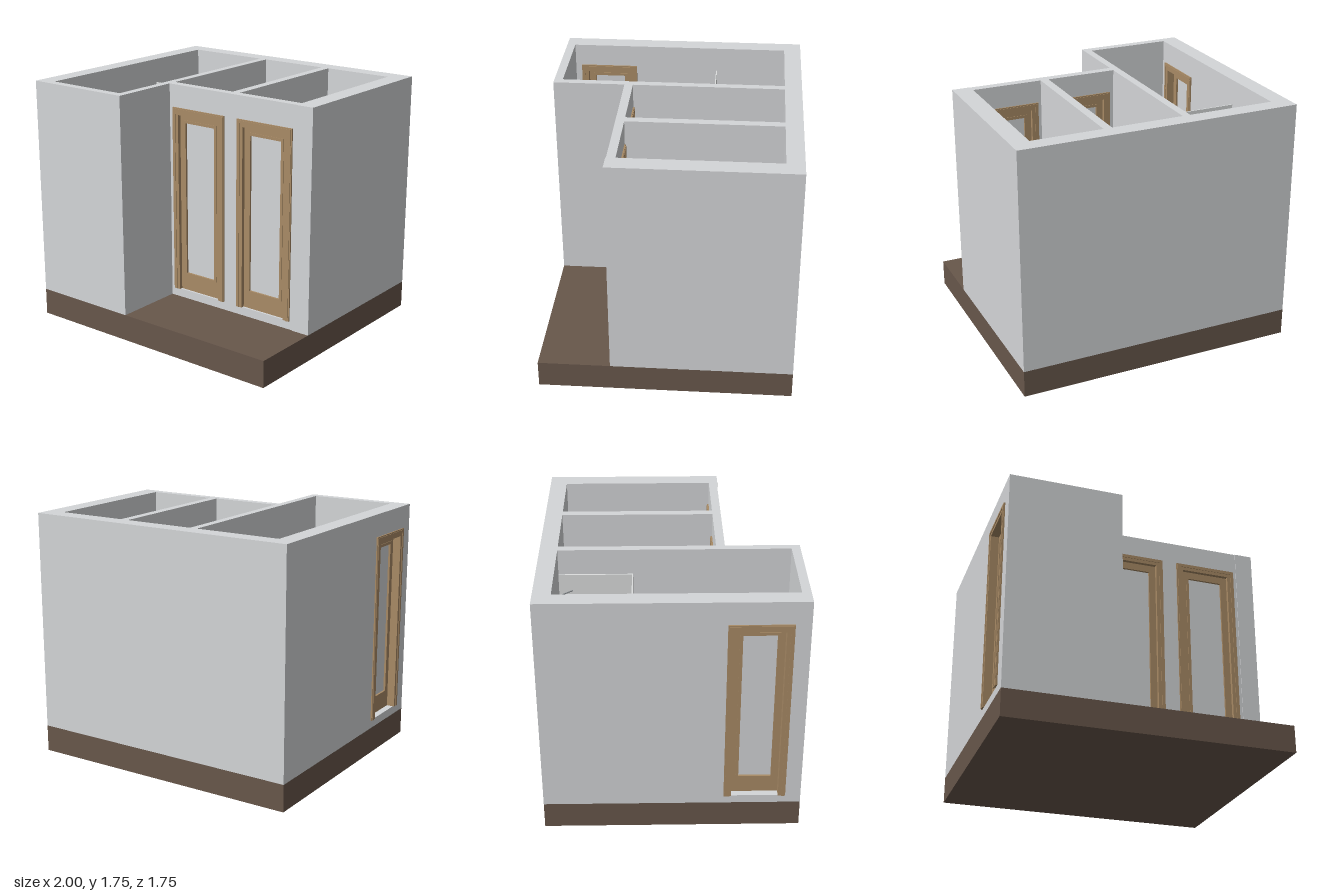
import * as THREE from 'three';
import { toCreasedNormals } from 'three/addons/utils/BufferGeometryUtils.js';

const mat = (name, color, side = THREE.FrontSide) => {
  const m = new THREE.MeshStandardMaterial({ color, side });
  m.name = name;
  return m;
};
const M = {
  wall: mat('wall grey', 0xd4d6d8),
  floor: mat('floor brown', 0x68574b),
  wood: mat('door wood', 0xa98b66),
  white: mat('porcelain', 0xdcdede, THREE.DoubleSide),
  lid: mat('lid grey', 0x8a979c),
  metal: mat('metal', 0x858a8e),
};
const FLOOR = 0.19, TOP = 1.75, SILL = 0.25, HEAD = 1.59;

function add(parent, name, geo, material, x = 0, y = 0, z = 0) {
  const mesh = new THREE.Mesh(geo, material);
  mesh.name = name;
  mesh.position.set(x, y, z);
  parent.add(mesh);
  return mesh;
}
// Box given by its limits on each axis
function block(parent, name, material, x0, x1, y0, y1, z0, z1) {
  return add(parent, name, new THREE.BoxGeometry(x1 - x0, y1 - y0, z1 - z0), material,
    (x0 + x1) / 2, (y0 + y1) / 2, (z0 + z1) / 2);
}
function group(parent, name, x, y, z, turn = 0) {
  const g = new THREE.Group();
  g.name = name;
  g.position.set(x, y, z);
  g.rotation.y = turn;
  parent.add(g);
  return g;
}
const poly = pts => new THREE.Shape(pts.map(p => new THREE.Vector2(p[0], p[1])));
const rect = (x0, x1, y0, y1) => poly([[x0, y0], [x1, y0], [x1, y1], [x0, y1]]);
const extrude = (shape, depth) =>
  toCreasedNormals(new THREE.ExtrudeGeometry(shape, { depth, bevelEnabled: false, curveSegments: 10 }), 0.6);
// Horizontal slab: shape y becomes z, upper face at y = 0
const slab = (shape, h) => extrude(shape, h).rotateX(Math.PI / 2);
function tube(parent, name, pts, r) {
  const curve = new THREE.CatmullRomCurve3(pts.map(p => new THREE.Vector3(...p)));
  add(parent, name, new THREE.TubeGeometry(curve, 16, r, 8), M.metal);
}
// Outline with a straight back at y = a and rounded front corners at y = b
function rounded(w, a, b, r) {
  const s = new THREE.Shape();
  s.moveTo(-w, a).lineTo(w, a).lineTo(w, b - r).quadraticCurveTo(w, b, w - r, b);
  s.lineTo(r - w, b).quadraticCurveTo(-w, b, -w, b - r).lineTo(-w, a);
  return s;
}

// Wall in the XY plane with door openings, outer face at z = 0
function doorWall(parent, name, x0, x1, t, doors) {
  const shape = rect(x0, x1, FLOOR, TOP);
  for (const [c, w] of doors) {
    shape.holes.push(rect(c - w / 2 + 0.03, c + w / 2 - 0.03, SILL, HEAD - 0.03));
  }
  add(parent, name, extrude(shape, t), M.wall, 0, 0, -t);
  doors.forEach(([c, w]) => door(parent, c, w, t));
}

// Panelled door with moulded casings on both faces
function door(parent, c, w, t) {
  const g = group(parent, 'door', c, 0, 0);
  const arch = (o, i) => {
    const a = w / 2 - o, b = w / 2 - i;
    return poly([[-a, SILL], [-b, SILL], [-b, HEAD - i], [b, HEAD - i], [b, SILL], [a, SILL], [a, HEAD - o], [-a, HEAD - o]]);
  };
  for (const z of [0, -t - 0.01]) add(g, 'casing', extrude(arch(0, 0.05), 0.01), M.wood, 0, 0, z);
  for (const z of [0.01, -t - 0.014]) add(g, 'casingMoulding', extrude(arch(0.008, 0.026), 0.004), M.wood, 0, 0, z);
  add(g, 'jamb', extrude(arch(0.03, 0.05), t), M.wood, 0, 0, -t);
  const a = w / 2 - 0.05, b = w / 2 - 0.1, m = -t / 2;
  const leaf = rect(-a, a, SILL, HEAD - 0.05);
  leaf.holes.push(rect(-b, b, 0.38, 1.485));
  add(g, 'doorLeaf', extrude(leaf, 0.03), M.wood, 0, 0, m - 0.015);
  const bead = rect(-b - 0.02, b + 0.02, 0.37, 1.505);
  bead.holes.push(rect(-b, b, 0.38, 1.485));
  add(g, 'panelBead', extrude(bead, 0.038), M.wood, 0, 0, m - 0.019);
  block(g, 'doorPanel', M.wall, -b, b, 0.38, 1.485, m - 0.004, m + 0.004);
}

// Toilet with its back at z = 0, facing +z
function toilet(parent, x, z, len, turn = 0) {
  const g = group(parent, 'toilet', x, FLOOR, z, turn);
  const bowl = slab(rounded(0.105, 0.08, len - 0.01, 0.09), 0.24);
  const p = bowl.attributes.position;
  for (let i = 0; i < p.count; i++) {
    if (p.getY(i) < -0.1) p.setXYZ(i, p.getX(i) * 0.65, p.getY(i), 0.08 + (p.getZ(i) - 0.08) * 0.7);
  }
  bowl.computeVertexNormals();
  add(g, 'bowl', bowl, M.white, 0, 0.24, 0);
  add(g, 'lid', slab(rounded(0.11, 0.14, len, 0.085), 0.022), M.lid, 0, 0.264, 0);
  block(g, 'hingeDeck', M.white, -0.11, 0.11, 0.2, 0.27, 0.07, 0.138);
  block(g, 'tank', M.white, -0.105, 0.105, 0.22, 0.45, 0.005, 0.085);
  block(g, 'tankLid', M.white, -0.112, 0.112, 0.45, 0.47, 0, 0.092);
  block(g, 'wallPipe', M.white, -0.035, 0.035, 0.1, 0.4, -0.012, 0.01);
}

// Half-ellipsoid basin below its rim
const basin = (rx, h, rz) =>
  new THREE.SphereGeometry(1, 20, 8, 0, Math.PI * 2, Math.PI / 2, Math.PI / 2).scale(rx, h, rz);

// Small wall basin, its back on the wall at z = 0, facing +z
function washbasin(parent, x, z) {
  const g = group(parent, 'washbasin', x, 0.7, z, Math.PI / 2);
  const rim = rounded(0.112, 0, 0.15, 0.06);
  const hole = new THREE.Path();
  hole.absellipse(0, 0.08, 0.085, 0.058, 0, Math.PI * 2);
  rim.holes.push(hole);
  add(g, 'basinRim', slab(rim, 0.035), M.white);
  add(g, 'basinBowl', basin(0.087, 0.08, 0.06), M.white, 0, -0.004, 0.08);
  add(g, 'drain', new THREE.CylinderGeometry(0.014, 0.014, 0.008, 12), M.metal, 0, -0.074, 0.06);
  tube(g, 'tap', [[0, 0, 0.012], [0, 0.05, 0.012], [0, 0.055, 0.03], [0, 0.035, 0.05]], 0.007);
  tube(g, 'wastePipe', [[0, -0.07, 0.08], [0, -0.14, 0.08], [0, -0.16, 0.05], [0, -0.16, 0]], 0.012);
}

// Quarter-round basin in the corner of the large room
function cornerBasin(parent) {
  const g = group(parent, 'cornerBasin', -0.25, 0.7, 0.815);
  const s = new THREE.Shape();
  s.moveTo(0, 0).lineTo(0, -0.22).lineTo(-0.05, -0.22);
  s.quadraticCurveTo(-0.2, -0.2, -0.215, -0.05).lineTo(-0.215, 0).lineTo(0, 0);
  const hole = new THREE.Path();
  hole.absellipse(-0.1, -0.1, 0.09, 0.06, 0, Math.PI * 2, false, -Math.PI / 4);
  s.holes.push(hole);
  add(g, 'basinRim', slab(s, 0.04), M.lid);
  add(g, 'basinBowl', basin(0.092, 0.08, 0.062), M.white, -0.1, -0.004, -0.1).rotation.y = Math.PI / 4;
  tube(g, 'tap', [[-0.035, 0, -0.035], [-0.035, 0.07, -0.035], [-0.06, 0.08, -0.06], [-0.1, 0.06, -0.1]], 0.009);
  for (const [x, z] of [[-0.075, -0.02], [-0.02, -0.075]]) {
    add(g, 'tapHandle', new THREE.CylinderGeometry(0.012, 0.012, 0.035, 12), M.metal, x, 0.017, z);
  }
}

function shower(parent) {
  const g = group(parent, 'shower', 0, 0, 0);
  const rim = rect(-0.865, -0.25, -0.755, -0.25);
  const r = 0.04, x0 = -0.83, x1 = -0.285, z0 = -0.72, z1 = -0.285;
  const hole = new THREE.Path();
  hole.moveTo(x0 + r, z0).lineTo(x1 - r, z0).quadraticCurveTo(x1, z0, x1, z0 + r);
  hole.lineTo(x1, z1 - r).quadraticCurveTo(x1, z1, x1 - r, z1).lineTo(x0 + r, z1);
  hole.quadraticCurveTo(x0, z1, x0, z1 - r).lineTo(x0, z0 + r).quadraticCurveTo(x0, z0, x0 + r, z0);
  rim.holes.push(hole);
  add(g, 'trayRim', slab(rim, 0.08), M.white, 0, FLOOR + 0.08, 0);
  block(g, 'trayFloor', M.white, -0.85, -0.26, FLOOR, FLOOR + 0.02, -0.74, -0.26);
  add(g, 'trayDrain', new THREE.CylinderGeometry(0.022, 0.022, 0.006, 16), M.metal, -0.56, FLOOR + 0.023, -0.5);
  // Screens round the cubicle
  block(g, 'frontScreen', M.white, -0.865, -0.25, 0.25, 1.57, -0.258, -0.25);
  block(g, 'sideScreen', M.white, -0.262, -0.25, 0.25, 1.57, -0.755, -0.25);
  block(g, 'screenHandle', M.metal, -0.3, -0.28, 0.8, 0.95, -0.25, -0.235);
  // Grab rail, mixer, riser and shower head
  tube(g, 'grabRail', [[-0.865, 0.85, -0.61], [-0.845, 0.85, -0.605], [-0.845, 0.85, -0.5],
    [-0.845, 0.85, -0.385], [-0.865, 0.85, -0.38]], 0.01);
  block(g, 'mixerBar', M.metal, -0.71, -0.45, 0.84, 0.87, -0.735, -0.705);
  for (const x of [-0.66, -0.58]) {
    add(g, 'mixerKnob', new THREE.CylinderGeometry(0.022, 0.022, 0.035, 14).rotateX(Math.PI / 2), M.metal, x, 0.855, -0.735);
  }
  tube(g, 'riser', [[-0.48, 0.86, -0.735], [-0.48, 1.1, -0.735], [-0.48, 1.4, -0.735], [-0.47, 1.44, -0.67]], 0.008);
  add(g, 'showerHead', new THREE.CylinderGeometry(0.025, 0.042, 0.03, 18), M.metal, -0.47, 1.42, -0.67);
  tube(g, 'cornerRail', [[-0.34, 1.45, -0.755], [-0.3, 1.45, -0.71], [-0.262, 1.45, -0.665]], 0.004);
}

export function createModel() {
  const root = new THREE.Group();
  root.name = 'washroomBlock';
  block(root, 'floorSlab', M.floor, -0.99, 1, 0, FLOOR, -0.875, 0.875);

  // Solid walls and partitions
  const walls = [
    ['backWall', -0.865, 1, -0.875, -0.755],
    ['rightWall', 0.87, 1, -0.755, 0.375],
    ['frontWall', -0.865, -0.25, 0.815, 0.875],
    ['longPartition', -0.25, -0.195, -0.755, 0.875],
    ['shortPartition', 0.31, 0.37, -0.755, 0.31],
  ];
  for (const [name, x0, x1, z0, z1] of walls) block(root, name, M.wall, x0, x1, FLOOR, TOP, z0, z1);

  // Walls with doors
  doorWall(group(root, 'stallFront', 0, 0, 0.37), 'stallFrontWall', -0.195, 0.87, 0.06, [[0.06, 0.45], [0.62, 0.45]]);
  doorWall(group(root, 'leftSide', -0.99, 0, 0, -Math.PI / 2), 'leftWall', -0.875, 0.875, 0.125, [[0.56, 0.42]]);

  // Fittings
  toilet(root, 0.058, -0.69, 0.42);
  toilet(root, 0.62, -0.69, 0.335);
  toilet(root, -0.335, -0.06, 0.4, -Math.PI / 4);
  washbasin(root, -0.195, 0.052 - 0.1);
  washbasin(root, 0.37, 0.052 - 0.1);
  cornerBasin(root);
  shower(root);
  return root;
}
